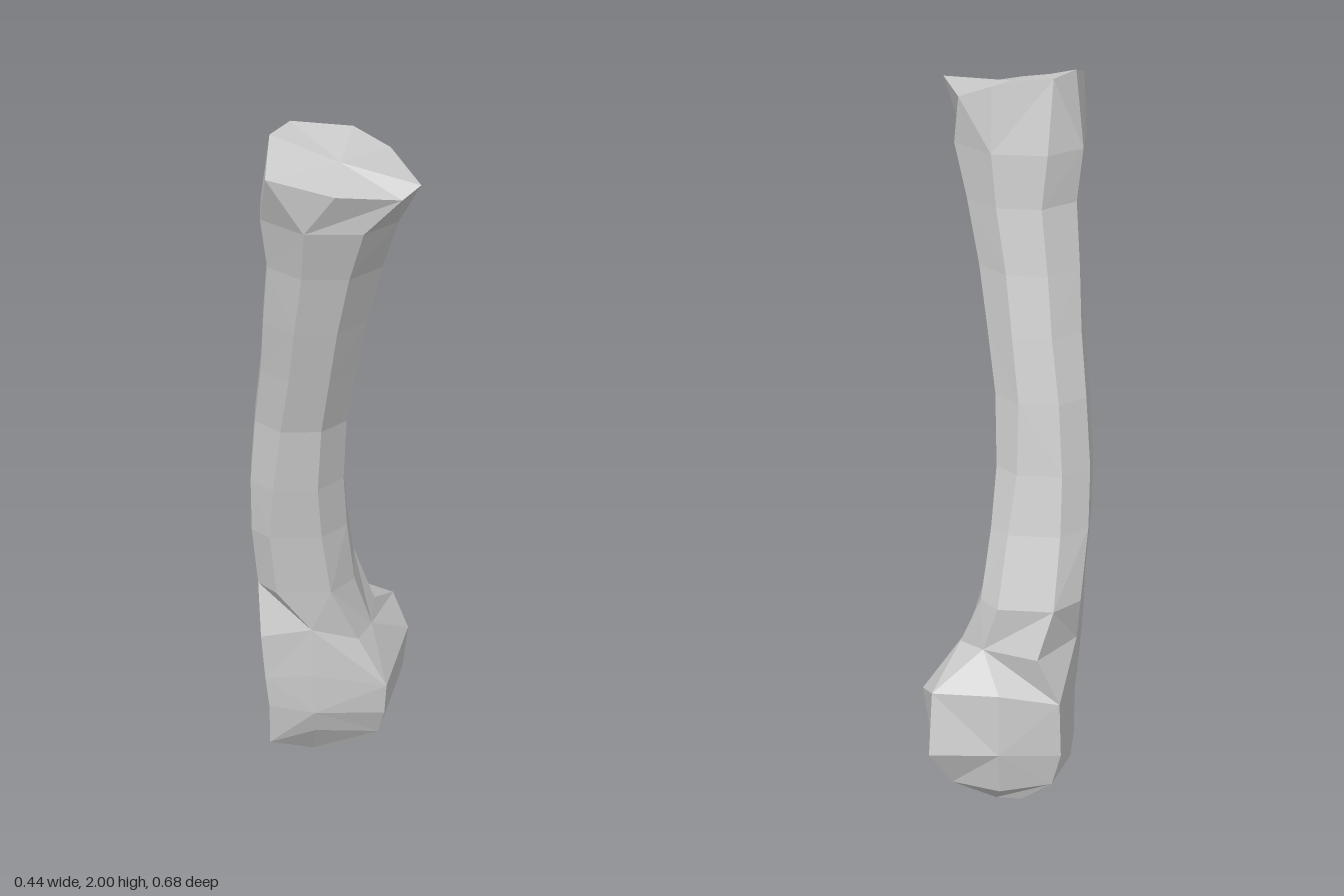
import * as THREE from 'three';

// Shaft cross-sections, top to bottom: y, x min, x max, z min, z max, skew, corner fullness
const SHAFT = [
  [1.81, -0.18, 0.155, 0.01, 0.305, -0.06, 0.43],
  [1.67, -0.165, 0.12, 0.0, 0.26, 0, 0.41],
  [1.5, -0.178, 0.085, -0.03, 0.215, 0, 0.41],
  [1.34, -0.187, 0.06, -0.065, 0.17, 0, 0.42],
  [1.17, -0.205, 0.035, -0.1, 0.122, 0, 0.44],
  [0.98, -0.22, 0.028, -0.133, 0.098, 0.04, 0.48],
  [0.82, -0.22, 0.038, -0.17, 0.075, 0.08, 0.54],
  [0.63, -0.206, 0.06, -0.235, 0.055, 0.06, 0.56],
];
const FOOT = [0.03, -0.1, 0.06, -0.225, -0.045, 0, 0.45];

// Uneven rim of the upper joint face
const RIM = [
  [0.205, 1.93, 0.29], [0.16, 1.9, 0.31], [0, 1.92, 0.34], [-0.165, 1.95, 0.3],
  [-0.155, 2, 0.14], [-0.105, 2, 0.05], [0.05, 1.98, 0.035], [0.14, 1.94, 0.075],
];

// Irregular lower head: neck, shoulder, widest ring and underside
const HEAD = [
  [
    [0.11, 0.46, -0.05], [0.07, 0.46, 0.03], [-0.06, 0.5, 0.045], [-0.2, 0.48, 0.045],
    [-0.195, 0.5, -0.13], [-0.1, 0.5, -0.27], [0.05, 0.5, -0.225], [0.12, 0.48, -0.15],
  ],
  [
    [0.22, 0.35, -0.19], [0.15, 0.31, 0.045], [-0.06, 0.35, 0.05], [-0.19, 0.34, 0.045],
    [-0.19, 0.35, -0.12], [-0.16, 0.36, -0.26], [0, 0.4, -0.3], [0.18, 0.4, -0.3],
  ],
  [
    [0.205, 0.22, -0.18], [0.145, 0.21, 0.035], [-0.05, 0.22, 0.047], [-0.18, 0.24, 0.04],
    [-0.18, 0.22, -0.13], [-0.165, 0.2, -0.26], [0, 0.22, -0.31], [0.185, 0.23, -0.34],
  ],
  [
    [0.16, 0.12, -0.15], [0.13, 0.12, 0], [-0.05, 0.14, 0.02], [-0.18, 0.1, 0.02],
    [-0.18, 0.1, -0.1], [-0.14, 0.1, -0.25], [0, 0.09, -0.285], [0.13, 0.11, -0.28],
  ],
];

// Eight-sided section fitted to its bounds, stretched along the +x/-z diagonal by the skew
function section([y, x0, x1, z0, z1, s, k]) {
  const unit = [
    [1, k - s], [k - s, 1], [-k - s, 1], [-1, k + s],
    [-1, -k + s], [-k + s, -1], [k + s, -1], [1, -k - s],
  ];
  return unit.map(([u, w]) => [
    (x0 + x1) / 2 + (u * (x1 - x0)) / 2,
    y,
    (z0 + z1) / 2 + (w * (z1 - z0)) / 2,
  ]);
}

// Skin between rings, closed at both ends by a fan round a centre point
function loft(rings, topCentre, bottomCentre) {
  const n = rings[0].length;
  const points = [...rings.flat(), topCentre, bottomCentre];
  const top = points.length - 2;
  const bottom = points.length - 1;
  const last = (rings.length - 1) * n;
  const index = [];
  for (let i = 0; i < n; i++) {
    const j = (i + 1) % n;
    for (let r = 0; r < rings.length - 1; r++) {
      const a = r * n + i, b = r * n + j, c = a + n, d = b + n;
      if ((r + i) % 2) index.push(a, b, d, a, d, c);
      else index.push(a, b, c, b, d, c);
    }
    index.push(top, j, i, bottom, last + i, last + j);
  }
  const indexed = new THREE.BufferGeometry();
  indexed.setAttribute('position', new THREE.Float32BufferAttribute(points.flat(), 3));
  indexed.setIndex(index);
  const geometry = indexed.toNonIndexed();
  geometry.computeVertexNormals();
  return geometry;
}

export function createModel() {
  const group = new THREE.Group();
  group.name = 'bone';
  const material = new THREE.MeshStandardMaterial({ color: 0xcccccc, flatShading: true });

  // Curved shaft with flared upper joint and knobbly lower head
  const rings = [RIM, ...SHAFT.map(section), ...HEAD, section(FOOT)];
  const shaft = new THREE.Mesh(loft(rings, [0.015, 1.95, 0.195], [-0.05, 0, -0.11]), material);
  shaft.name = 'boneShaft';
  group.add(shaft);
  return group;
}
